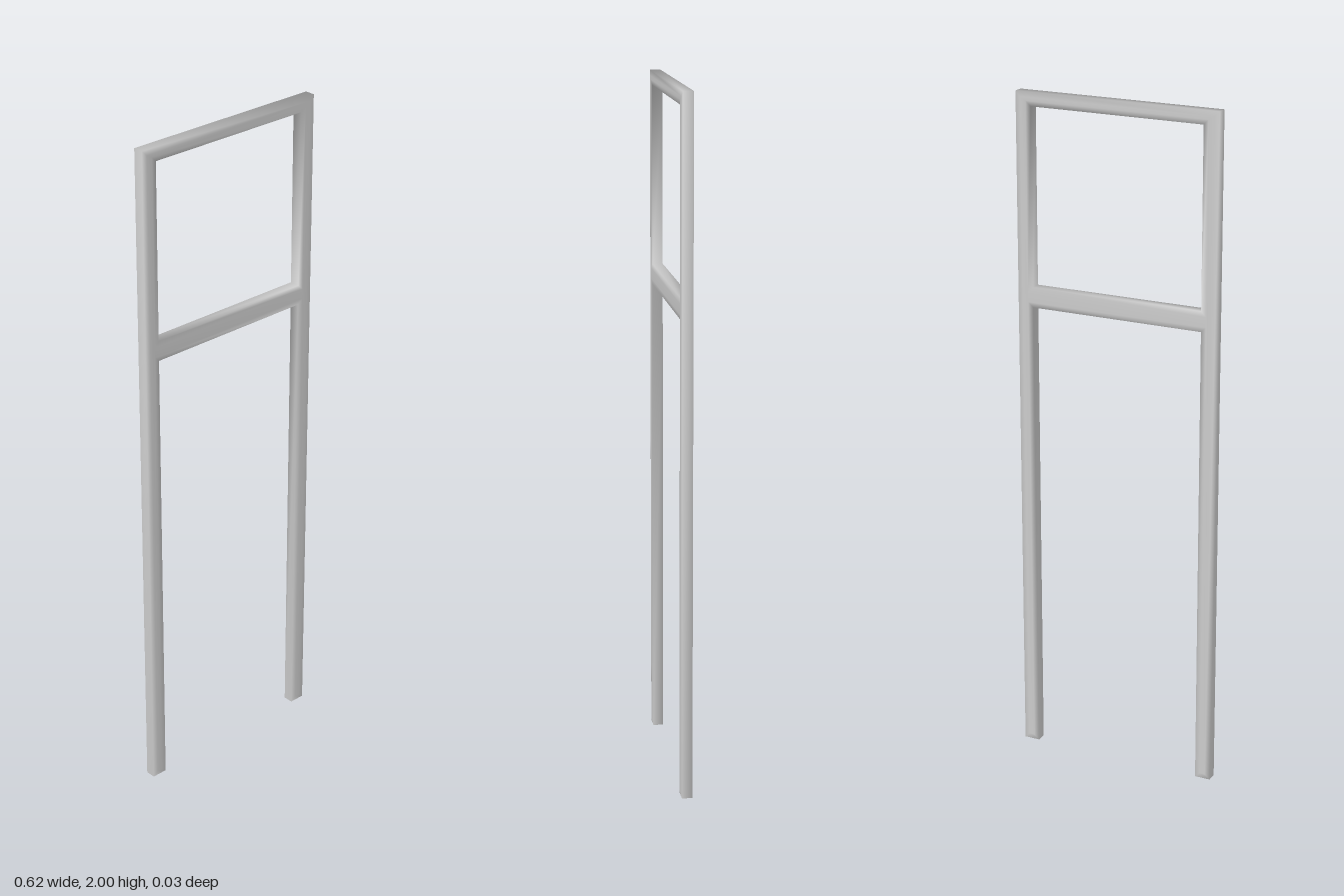
import * as THREE from 'three';
import { mergeVertices } from 'three/addons/utils/BufferGeometryUtils.js';

const OUT = 0.309, IN = 0.262;   // outer and inner x of the posts
const HALF = 0.017;              // half depth at the crown of the bars
const CROWN = 0.002;             // how far the faces swell from edge to crown

const points = (list) => list.map(([x, y]) => new THREE.Vector2(x, y));

export function createModel() {
  const group = new THREE.Group();
  group.name = 'doubleRailFrame';

  // Two posts joined by a top rail and a middle rail, as one outline
  const outline = new THREE.Shape(points([
    [-OUT, 0], [-IN, 0], [-IN, 1.38], [IN, 1.38],
    [IN, 0], [OUT, 0], [OUT, 2], [-OUT, 2],
  ]));

  // Opening between the rails
  outline.holes.push(new THREE.Path(points([
    [-IN, 1.44], [-IN, 1.96], [IN, 1.96], [IN, 1.44],
  ])));

  // Shallow bevel gives the slightly crowned front and back faces
  const depth = 2 * (HALF - CROWN);
  let geometry = new THREE.ExtrudeGeometry(outline, {
    depth,
    bevelEnabled: true,
    bevelThickness: CROWN,
    bevelSize: 0.015,
    bevelOffset: -0.015,
    bevelSegments: 1,
  });
  geometry.translate(0, 0, -depth / 2);

  // Weld the corners so the bars shade softly all the way round
  geometry.deleteAttribute('normal');
  geometry.deleteAttribute('uv');
  geometry = mergeVertices(geometry, 1e-4);
  geometry.computeVertexNormals();

  const frame = new THREE.Mesh(geometry, new THREE.MeshStandardMaterial({ color: 0xcccccc }));
  frame.name = 'postsAndRails';
  group.add(frame);
  return group;
}
